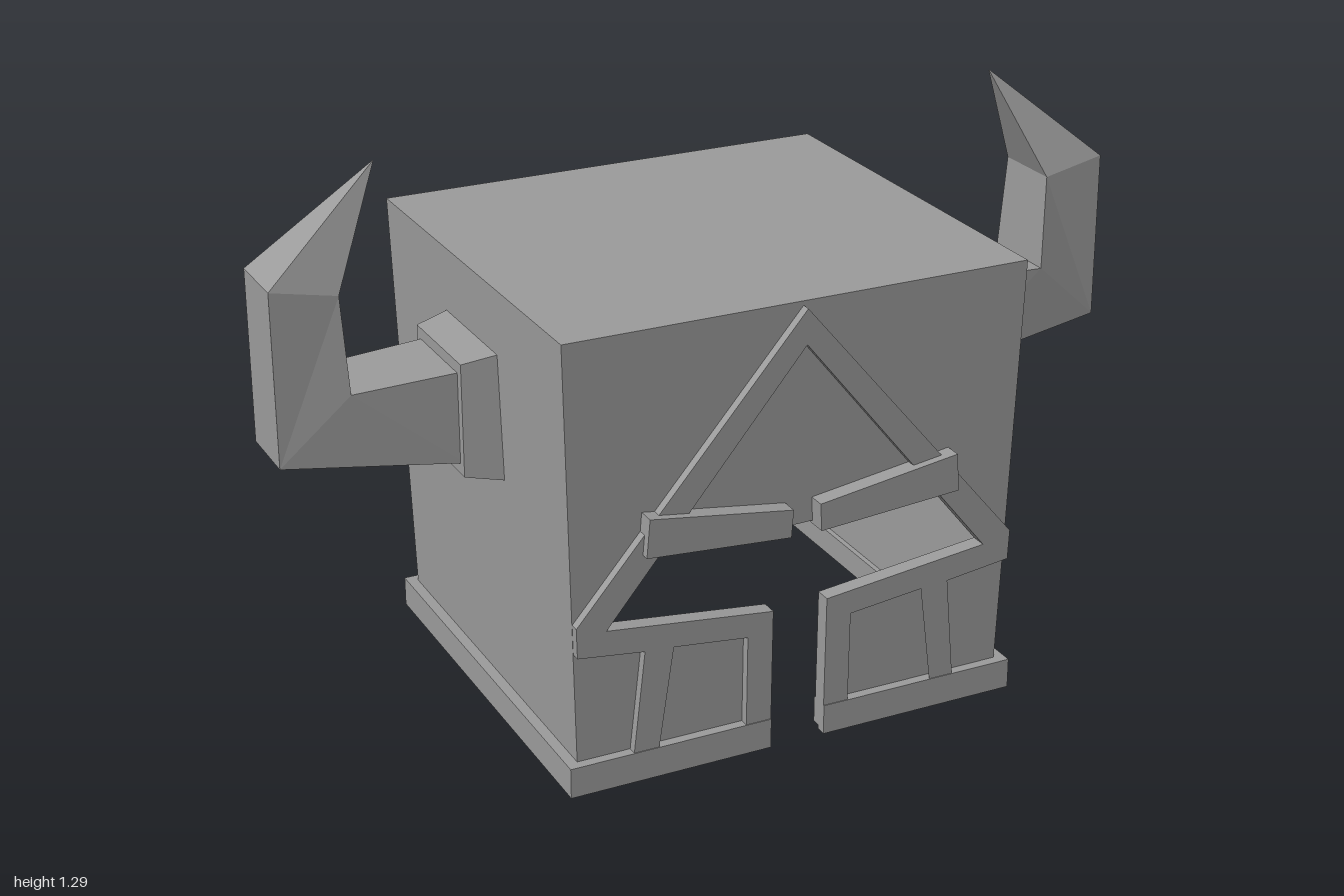
import * as THREE from 'three';

const material = new THREE.MeshStandardMaterial({ color: 0x9b9b9b, flatShading: true });
const CZ = -0.015; // centre line of the horns in z

function addMesh(parent, name, geometry) {
  const mesh = new THREE.Mesh(geometry, material);
  mesh.name = name;
  parent.add(mesh);
}

// Closed solid through a list of four-cornered cross-sections, turned to face outwards.
function loft(rings) {
  const tris = [];
  const quad = (a, b, c, d) => tris.push([a, b, c], [a, c, d]);
  quad(...[...rings[0]].reverse());
  quad(...rings[rings.length - 1]);
  for (let r = 0; r < rings.length - 1; r++) {
    for (let i = 0; i < 4; i++) {
      const j = (i + 1) % 4;
      quad(rings[r][i], rings[r][j], rings[r + 1][j], rings[r + 1][i]);
    }
  }
  let volume = 0;
  for (const t of tris) {
    const [a, b, c] = t.map(p => new THREE.Vector3(...p));
    volume += a.dot(b.cross(c));
  }
  if (volume < 0) tris.forEach(t => t.reverse());
  const geometry = new THREE.BufferGeometry();
  geometry.setAttribute('position', new THREE.Float32BufferAttribute(tris.flat(2), 3));
  geometry.computeVertexNormals();
  return geometry;
}

// Flat plate on the sloping front: z0 and z1 are depths at the foot of the wall.
function frontPlate(points, z0, z1, hole) {
  const vectors = list => list.map(([x, y]) => new THREE.Vector2(x, y));
  const shape = new THREE.Shape(vectors(points));
  if (hole) shape.holes.push(new THREE.Path(vectors(hole)));
  const geometry = new THREE.ExtrudeGeometry(shape, { depth: z1 - z0, bevelEnabled: false });
  const p = geometry.attributes.position;
  for (let i = 0; i < p.count; i++) p.setZ(i, p.getZ(i) + z0 + 0.021 * (p.getY(i) - 0.07));
  geometry.computeVertexNormals();
  return geometry;
}

// Rectangular section in a horizontal plane
const flat = (x0, x1, z0, z1, y) => [[x0, y, z0], [x1, y, z0], [x1, y, z1], [x0, y, z1]];

// Section of a horn: a lower/outer edge and an upper/inner edge, each with its half width
const hornSection = (s, outer, inner, wOuter, wInner) => [
  [s * outer[0], outer[1], CZ - wOuter], [s * outer[0], outer[1], CZ + wOuter],
  [s * inner[0], inner[1], CZ + wInner], [s * inner[0], inner[1], CZ - wInner],
];

function box(x0, x1, y0, y1, z0, z1) {
  return new THREE.BoxGeometry(x1 - x0, y1 - y0, z1 - z0)
    .translate((x0 + x1) / 2, (y0 + y1) / 2, (z0 + z1) / 2);
}

export function createModel() {
  const model = new THREE.Group();
  model.name = 'hornedHelmet';
  const mirrored = pts => pts.map(([x, y]) => [-x, y]);

  // Front wall with the eye and nose opening
  const half = [[0.54, 1.03], [0.514, 0.03], [0.065, 0.03], [0.065, 0.335],
    [0.455, 0.38], [0.335, 0.53], [0, 0.52]];
  const wall = [...half, ...mirrored(half.slice(0, -1)).reverse()];
  addMesh(model, 'frontWall', frontPlate(wall, 0.452, 0.457));

  // Back wall and roof
  addMesh(model, 'backWall', loft([
    flat(-0.514, 0.514, -0.479, -0.467, 0.03), flat(-0.54, 0.54, -0.505, -0.493, 1.03)]));
  addMesh(model, 'roof', box(-0.539, 0.539, 1.018, 1.03, -0.504, 0.475));

  // Rim round the foot, open at the nose, with a slightly higher inner step
  addMesh(model, 'backRim', box(-0.54, 0.54, 0, 0.07, -0.505, -0.48));
  addMesh(model, 'backInnerRim', box(-0.515, 0.515, 0.01, 0.07, -0.48, -0.455));

  for (const s of [1, -1]) {
    const side = s > 0 ? 'left' : 'right';
    const flip = pts => pts.map(([x, y]) => [s * x, y]);
    const span = (a, b) => [Math.min(s * a, s * b), Math.max(s * a, s * b)];

    addMesh(model, side + 'Wall', loft([
      flat(s * 0.502, s * 0.514, -0.479, 0.454, 0.03),
      flat(s * 0.528, s * 0.54, -0.505, 0.475, 1.03)]));
    addMesh(model, side + 'Rim', box(...span(0.515, 0.54), 0, 0.07, -0.48, 0.455));
    addMesh(model, side + 'InnerRim', box(...span(0.49, 0.515), 0.01, 0.07, -0.455, 0.455));
    addMesh(model, side + 'FrontRim', box(...span(0.065, 0.54), 0, 0.07, 0.455, 0.48));
    addMesh(model, side + 'FrontInnerRim', box(...span(0.065, 0.49), 0.01, 0.07, 0.435, 0.455));

    // Raised face trim: gable bar, cheek band and framed cheek window
    const trim = [[0, 1.02], [0.523, 0.4], [0.521, 0.33], [0.367, 0.31], [0.395, 0.04],
      [0.065, 0.04], [0.065, 0.335], [0.455, 0.38], [0, 0.94]];
    const opening = [[0.125, 0.07], [0.125, 0.285], [0.3, 0.305], [0.333, 0.07]];
    addMesh(model, side + 'FaceTrim', frontPlate(flip(trim), 0.44, 0.478, flip(opening)));

    // Brow
    const brow = [[0.032, 0.577], [0.365, 0.626], [0.372, 0.538], [0.036, 0.513]];
    addMesh(model, side + 'Brow', frontPlate(flip(brow), 0.444, 0.497));

    // Horn with its socket
    const horn = new THREE.Group();
    horn.name = side + 'Horn';
    model.add(horn);
    addMesh(horn, 'hornSocket', loft([
      hornSection(s, [0.52, 0.589], [0.52, 0.883], 0.147, 0.147),
      hornSection(s, [0.612, 0.607], [0.612, 0.865], 0.127, 0.127)]));
    addMesh(horn, 'hornSpike', loft([
      hornSection(s, [0.6, 0.63], [0.6, 0.84], 0.107, 0.107),
      hornSection(s, [1, 0.685], [0.842, 0.828], 0.081, 0.095),
      hornSection(s, [1, 1.075], [0.853, 1.045], 0.08, 0.083),
      hornSection(s, [0.738, 1.293], [0.737, 1.292], 0.001, 0.001)]));
  }
  return model;
}
